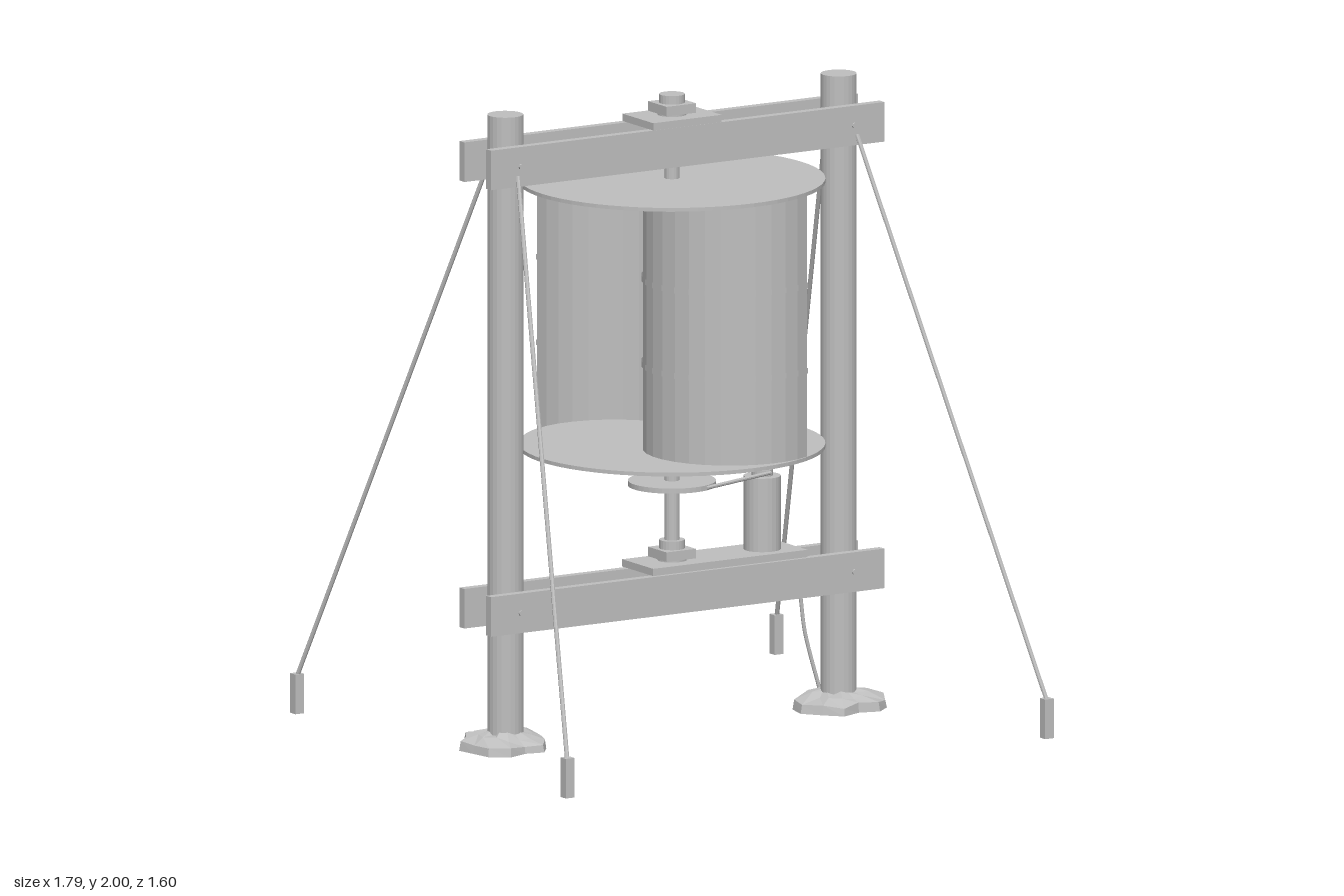
import * as THREE from 'three';

export function createModel() {
  const model = new THREE.Group();
  model.name = 'windTurbine';
  const metal = new THREE.MeshStandardMaterial({ color: 0xbfbfbf });
  metal.name = 'plain grey';
  metal.flatShading = true;
  const sheet = new THREE.MeshStandardMaterial({ color: 0xbfbfbf, side: THREE.DoubleSide });
  sheet.name = 'plain grey sheet';
  sheet.flatShading = true;

  const add = (name, geo, x = 0, y = 0, z = 0, parent = model, mat = metal) => {
    const m = new THREE.Mesh(geo, mat);
    m.name = name;
    m.position.set(x, y, z);
    parent.add(m);
    return m;
  };
  // Box and upright cylinder given by their bottom and top heights
  const box = (name, w, d, y0, y1, x = 0, z = 0) =>
    add(name, new THREE.BoxGeometry(w, y1 - y0, d), x, (y0 + y1) / 2, z);
  const cyl = (name, r, y0, y1, x = 0, z = 0, n = 24) =>
    add(name, new THREE.CylinderGeometry(r, r, y1 - y0, n), x, (y0 + y1) / 2, z);
  // Thin round rod between two points
  const rod = (name, a, b, r, n = 8) => {
    const p = new THREE.Vector3(...a), q = new THREE.Vector3(...b);
    const m = add(name, new THREE.CylinderGeometry(r, r, p.distanceTo(q), n));
    m.position.copy(p).add(q).multiplyScalar(0.5);
    m.quaternion.setFromUnitVectors(new THREE.Vector3(0, 1, 0), q.sub(p).normalize());
    return m;
  };

  // Ragged footing: rings of a low mound with seeded jitter
  const mound = (x, startSeed) => {
    let seed = startSeed;
    const rand = () => (seed = (seed * 16807) % 2147483647) / 2147483647;
    const rings = [[0.05, 0.055], [0.09, 0.045], [0.14, 0.026], [0.145, 0]];
    const n = 14, pos = [], idx = [];
    const spread = Array.from({ length: n }, () => 0.8 + 0.36 * rand());
    rings.forEach(([r, y], k) => {
      for (let i = 0; i < n; i++) {
        const t = (i / n) * Math.PI * 2;
        const s = r * (k > 1 ? spread[i] : 0.9 + 0.2 * rand());
        pos.push(Math.sin(t) * s, k < 3 ? y + (rand() - 0.5) * 0.016 : 0, Math.cos(t) * s);
      }
    });
    pos.push(0, 0.055, 0, 0, 0, 0);
    const top = rings.length * n;
    for (let i = 0; i < n; i++) {
      const j = (i + 1) % n;
      for (let k = 0; k < rings.length - 1; k++) {
        const a = k * n, b = a + n;
        idx.push(a + i, b + i, b + j, a + i, b + j, a + j);
      }
      idx.push(top, i, j, top + 1, top - n + j, top - n + i);
    }
    const g = new THREE.BufferGeometry();
    g.setAttribute('position', new THREE.Float32BufferAttribute(pos, 3));
    g.setIndex(idx);
    g.computeVertexNormals();
    add('footing', g, x);
  };

  // Posts, footings, guy wires, stakes and bolts
  for (const sx of [-1, 1]) {
    cyl('post', 0.056, 0, 2, sx * 0.61);
    mound(sx * 0.61, sx > 0 ? 4711 : 977);
    for (const sz of [-1, 1]) {
      rod('guyWire', [sx * 0.62, 1.82, sz * 0.09], [sx * 0.878, 0.12, sz * 0.785], 0.007);
      box('stake', 0.032, 0.03, 0.005, 0.13, sx * 0.877, sz * 0.785);
    }
    for (const y of [0.44, 1.85])
      rod('bolt', [sx * 0.61, y, -0.097], [sx * 0.61, y, 0.097], 0.009);
  }

  // Paired cross beams
  for (const sz of [-1, 1]) {
    box('lowerBeam', 1.44, 0.028, 0.377, 0.502, 0, sz * 0.077);
    box('upperBeam', 1.44, 0.028, 1.787, 1.912, 0, sz * 0.077);
  }

  // Mounting plates and bearings
  box('upperPlate', 0.25, 0.18, 1.912, 1.935);
  box('lowerPlate', 0.565, 0.18, 0.505, 0.528, 0.157);
  for (const y of [0.528, 1.935]) {
    box('bearingBase', 0.108, 0.108, y + 0.008, y + 0.038);
    cyl('bearingFoot', 0.045, y, y + 0.008);
    cyl('bearingCollar', 0.04, y + 0.038, y + 0.065);
  }
  cyl('shaft', 0.023, 0.528, 2, 0, 0, 20);

  // Rotor: two end discs and two half drums with hoops
  cyl('lowerDisc', 0.475, 0.886, 0.898, 0, 0, 64);
  cyl('upperDisc', 0.475, 1.722, 1.734, 0, 0, 64);
  const R = 0.27, OFF = 0.202, TURN = Math.PI / 6;
  for (let k = 0; k < 2; k++) {
    const half = new THREE.Group();
    half.name = 'rotorScoop';
    half.rotation.y = TURN + k * Math.PI;
    model.add(half);
    add('halfDrum', new THREE.CylinderGeometry(R, R, 0.824, 16, 1, true, Math.PI, Math.PI),
      0, 1.31, OFF, half, sheet);
    for (const y of [1.17, 1.44])
      add('hoop', new THREE.CylinderGeometry(R + 0.004, R + 0.004, 0.018, 16, 1, true, Math.PI, Math.PI),
        0, y, OFF, half, sheet);
  }

  // Generator driven by pulley and belt
  const GX = 0.33, BIG = 0.137, SMALL = 0.033;
  cyl('pulley', BIG, 0.764, 0.78, 0, 0, 40);
  cyl('generator', 0.058, 0.528, 0.76, GX);
  cyl('generatorPulley', SMALL, 0.76, 0.78, GX);
  const s = (BIG - SMALL) / GX, c = Math.sqrt(1 - s * s);
  for (const sz of [-1, 1])
    rod('belt', [BIG * s, 0.772, sz * BIG * c], [GX + SMALL * s, 0.772, sz * SMALL * c], 0.006);

  // Power cable running down behind the post
  const path = new THREE.CatmullRomCurve3([
    [0.35, 0.595, -0.05], [0.43, 0.55, -0.095], [0.525, 0.4, -0.11],
    [0.555, 0.22, -0.108], [0.6, 0.04, -0.095],
  ].map((p) => new THREE.Vector3(...p)));
  add('cable', new THREE.TubeGeometry(path, 24, 0.006, 8));

  return model;
}
